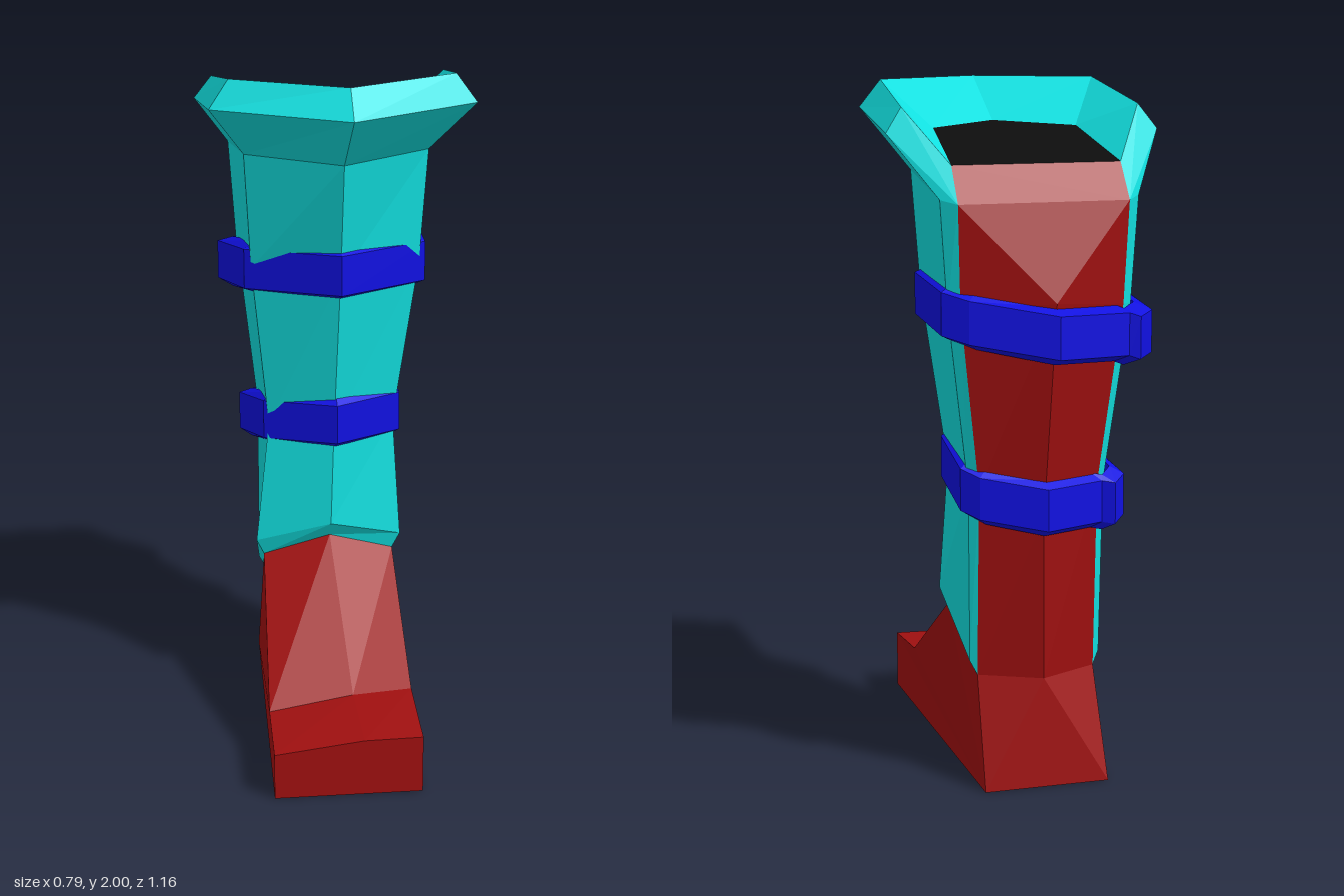
import * as THREE from 'three';

const material = (color) => new THREE.MeshStandardMaterial({ color, flatShading: true, side: THREE.DoubleSide });
const teal = material(0x12e0e0), red = material(0xa01010), blue = material(0x1010e0), black = material(0x0d0d0d);

// Mesh from polygons (lists of corner points, counter-clockwise from outside)
function polyMesh(name, mat, polygons) {
  const pos = [];
  for (const p of polygons)
    for (let i = 1; i < p.length - 1; i++) pos.push(...p[0], ...p[i], ...p[i + 1]);
  const g = new THREE.BufferGeometry();
  g.setAttribute('position', new THREE.Float32BufferAttribute(pos, 3));
  g.computeVertexNormals();
  const mesh = new THREE.Mesh(g, mat);
  mesh.name = name;
  return mesh;
}

// Quads between successive rows of points
function loft(rows, closed = false) {
  const faces = [];
  for (let r = 0; r < rows.length - 1; r++) {
    const a = rows[r], b = rows[r + 1], n = a.length;
    for (let i = 0; i < (closed ? n : n - 1); i++) {
      const j = (i + 1) % n;
      faces.push([a[i], a[j], b[j], b[i]]);
    }
  }
  return faces;
}

// Mirrored shell row: front ridge [y,z], then side, rear and seam corners [halfWidth,y,z]
function row(cx, front, ...sides) {
  const half = (s) => sides.map(([w, y, z]) => [cx + s * w, y, z]);
  return [...half(-1).reverse(), [cx, ...front], ...half(1)];
}

// Strap: bevelled band following a closed path
function strap(name, path) {
  const ring = (scale, dy) => path.map(([x, y, z]) => [x * scale, y + dy, -0.25 + (z + 0.25) * scale]);
  return polyMesh(name, blue, loft([
    ring(0.86, -0.08), ring(1, -0.06), ring(1, 0.06), ring(0.86, 0.08), ring(0.86, -0.08),
  ], true));
}

export function createModel() {
  const group = new THREE.Group();

  // Shin guard, from the ankle edge up over the flared rim and into the opening
  const seamTop = [0.245, 1.69, -0.48], seamLow = [0.175, 0.32, -0.345];
  const shell = [
    row(-0.02, [0.54, -0.07], [0.2, 0.47, -0.11], seamLow, seamLow),
    row(-0.02, [0.59, -0.035], [0.223, 0.52, -0.1], [0.195, 0.36, -0.335], seamLow),
    row(-0.01, [0.9, -0.04], [0.19, 0.9, -0.115], [0.2, 0.88, -0.378], [0.175, 0.88, -0.4]),
    row(0, [1.4, 0.04], [0.25, 1.4, -0.085], [0.265, 1.4, -0.44], [0.235, 1.4, -0.465]),
    row(0, [1.75, 0.12], [0.27, 1.75, -0.055], [0.285, 1.7, -0.44], seamTop),
    row(0, [1.92, 0.325], [0.38, 1.92, 0.115], [0.395, 1.87, -0.28], seamTop),
    row(0, [2, 0.25], [0.322, 2, 0.09], [0.345, 1.94, -0.255], seamTop),
    row(0, [1.88, 0.04], [0.213, 1.87, -0.095], [0.243, 1.79, -0.405], seamTop),
  ];
  group.add(polyMesh('shinGuard', teal, loft(shell)));

  // Dark opening at the top
  const rim = shell[7];
  group.add(polyMesh('opening', black, [rim.slice(1, 6)]));

  // Calf behind the guard, with a ridge down the middle
  const ridge = [[-0.02, 0.32, -0.43], [-0.01, 0.8, -0.455], [-0.015, 1.42, -0.55], [-0.015, 1.42, -0.55]];
  const calf = [0, 2, 3, 4].map((r, i) => [shell[r][6], ridge[i], shell[r][0]]);
  group.add(polyMesh('calf', red, [
    ...loft(calf),
    [rim[6], ridge[3], rim[0]],
    [rim[0], rim[1], rim[5], rim[6]],
  ]));

  // Foot
  const [sR, , bR, c, bL, , sL] = shell[0], heel = ridge[0];
  const instep = [[-0.25, 0.15, 0.325], [0, 0.19, 0.325], [0.175, 0.2, 0.325]];
  const toe = [[-0.26, 0.14, 0.57], [0, 0.172, 0.575], [0.17, 0.175, 0.58]];
  const toeR = [-0.26, 0, 0.57], toeL = [0.17, 0, 0.58];
  const heelR = [-0.21, 0, -0.45], heelL = [0.16, 0, -0.45];
  group.add(polyMesh('foot', red, [
    ...loft([toe, instep, [bR, c, bL]]),
    [toeR, toeL, toe[2], toe[1], toe[0]],
    [heelL, sL, bL, instep[2], toe[2], toeL],
    [heelR, toeR, toe[0], instep[0], bR, sR],
    [heelR, sR, heel], [heelR, heel, heelL], [heelL, heel, sL],
    [heelR, heelL, toeL, toeR],
  ]));

  // Straps, each with a small bulge at the right rear corner
  group.add(strap('upperStrap', [
    [-0.32, 1.32, -0.465], [-0.27, 1.395, -0.095], [0, 1.41, 0.07], [0.27, 1.4, -0.095],
    [0.285, 1.39, -0.45], [0.22, 1.37, -0.5], [-0.015, 1.33, -0.585], [-0.24, 1.32, -0.505], [-0.27, 1.31, -0.515],
  ]));
  group.add(strap('lowerStrap', [
    [-0.265, 0.84, -0.4], [-0.215, 0.91, -0.12], [-0.005, 0.925, 0], [0.2, 0.92, -0.115],
    [0.215, 0.88, -0.385], [0.17, 0.86, -0.43], [-0.01, 0.83, -0.5], [-0.19, 0.83, -0.43], [-0.225, 0.825, -0.445],
  ]));
  return group;
}
